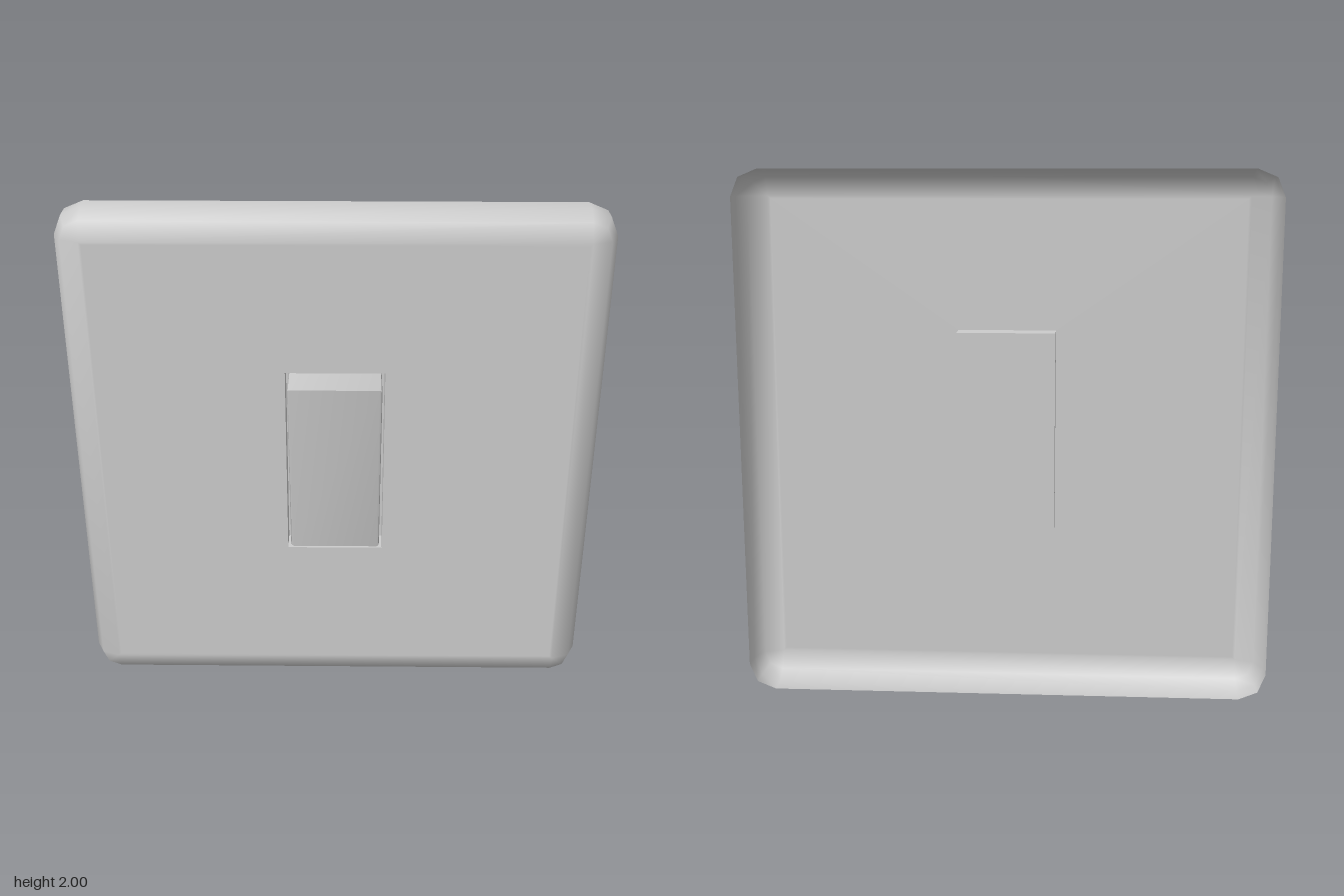
import * as THREE from 'three';
import { toCreasedNormals } from 'three/addons/utils/BufferGeometryUtils.js';

// Outline of a rectangle with corners rounded in two steps, anticlockwise from the front
function roundedRect({ w, h, y, z, r = 0 }) {
  const points = [];
  [[1, 1], [-1, 1], [-1, -1], [1, -1]].forEach(([sx, sy], corner) => {
    for (let step = 0; step < 3; step++) {
      const a = (corner + step / 2) * Math.PI / 2;
      points.push(new THREE.Vector3(
        sx * (w - r) + r * Math.cos(a), y + sy * (h - r) + r * Math.sin(a), z));
    }
  });
  return points;
}

// Skin joining successive outlines, skipping collapsed triangles
function loft(sections) {
  const rings = sections.map(roundedRect);
  const positions = [];
  const triangle = (a, b, c) => {
    if (new THREE.Triangle(a, b, c).getArea() < 1e-8) return;
    for (const p of [a, b, c]) positions.push(p.x, p.y, p.z);
  };
  for (let j = 0; j < rings.length - 1; j++) {
    const n = rings[j].length;
    for (let i = 0; i < n; i++) {
      const k = (i + 1) % n;
      triangle(rings[j][i], rings[j][k], rings[j + 1][k]);
      triangle(rings[j][i], rings[j + 1][k], rings[j + 1][i]);
    }
  }
  const geometry = new THREE.BufferGeometry();
  geometry.setAttribute('position', new THREE.Float32BufferAttribute(positions, 3));
  return toCreasedNormals(geometry, 0.9);
}

export function createModel() {
  const group = new THREE.Group();
  group.name = 'lightSwitch';
  const add = (name, geometry, side = THREE.FrontSide) => {
    const mesh = new THREE.Mesh(geometry,
      new THREE.MeshStandardMaterial({ color: 0xcccccc, side }));
    mesh.name = name;
    group.add(mesh);
  };

  // Hollow wall plate: open back, side wall, soft front edge, flat face
  const plate = (inset, z) => (
    { w: 1 - inset, h: 1 - inset, y: 1, z, r: Math.max(0, 0.1 - inset) });
  const slot = { w: 0.185, h: 0.38, y: 1.02 };
  add('wallPlate', loft([
    plate(0, -0.14), plate(0, -0.065), plate(0.03, -0.005), plate(0.1, 0.02),
    plate(0.11, 0.02), { ...slot, z: 0.02 },
  ]), THREE.DoubleSide);

  // Shallow pocket behind the slot
  add('rockerPocket', loft([
    { ...slot, z: 0.02 }, { ...slot, z: -0.07 }, { w: 0, h: 0, y: slot.y, z: -0.07 },
  ]), THREE.DoubleSide);

  // Wedge-shaped rocker, proud at the top, with a fine edge bevel
  const bevel = 0.01;
  const profile = new THREE.Shape([
    [-0.055, 0.67], [0.032, 0.67], [0.132, 1.38], [-0.055, 1.38],
  ].map(([z, y]) => new THREE.Vector2(z, y)));
  const rocker = new THREE.ExtrudeGeometry(profile, {
    depth: 0.325, bevelSize: bevel, bevelThickness: bevel, bevelSegments: 2,
  });
  rocker.translate(0, 0, -0.1625).rotateY(-Math.PI / 2);
  add('rocker', toCreasedNormals(rocker, 0.6));

  return group;
}
